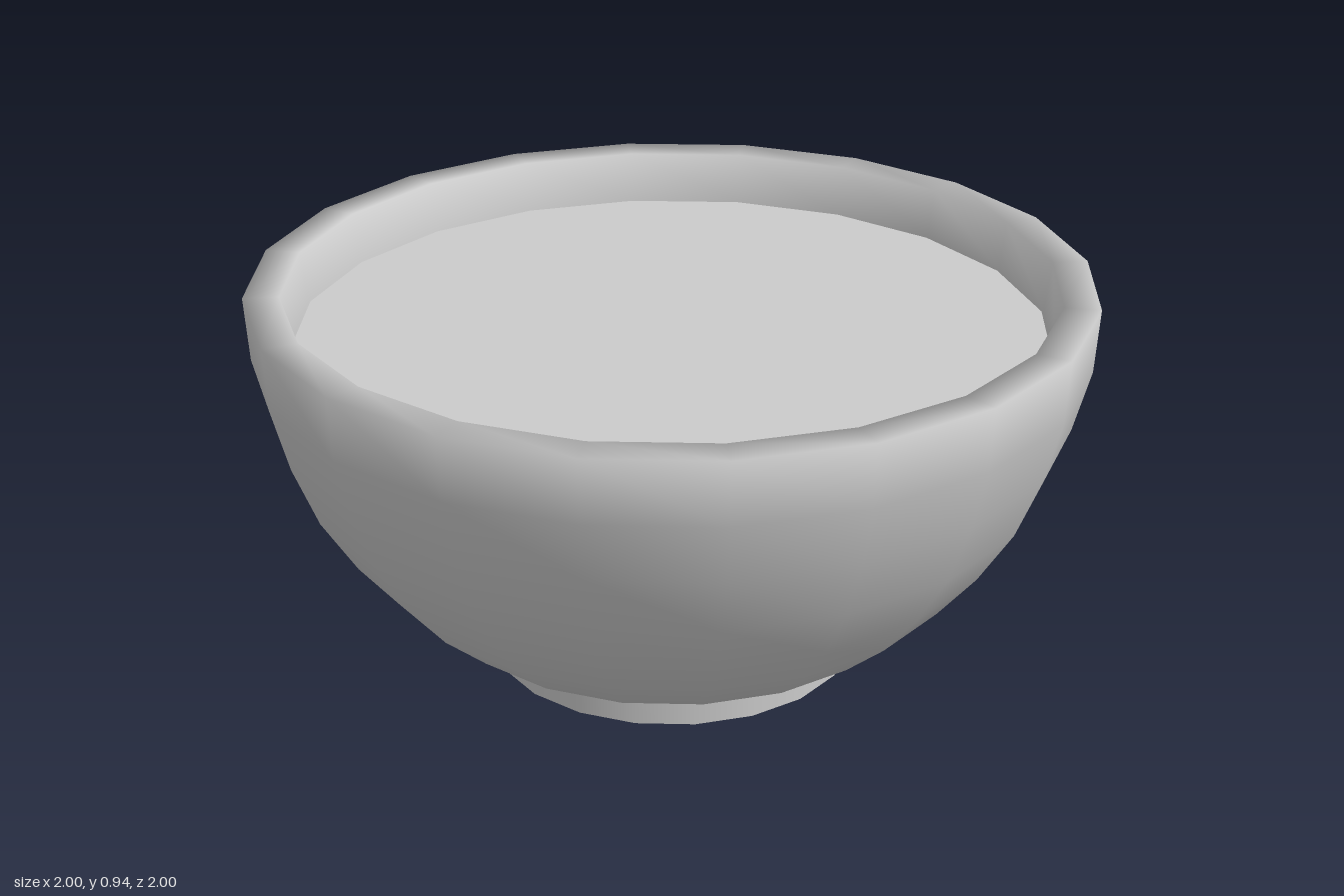
import * as THREE from 'three';

const SIDES = 20;

export function createModel() {
  const model = new THREE.Group();
  const material = new THREE.MeshStandardMaterial({ color: 0xcccccc });

  const add = (name, geometry) => {
    const mesh = new THREE.Mesh(geometry, material);
    mesh.name = name;
    model.add(mesh);
    return mesh;
  };
  const lathe = (profile) =>
    new THREE.LatheGeometry(profile.map(([r, y]) => new THREE.Vector2(r, y)), SIDES);

  // Thick-walled bowl: up the outside, over the rim, down the inside
  add('bowl', lathe([
    [0.45, 0.055], [0.595, 0.14], [0.71, 0.24], [0.805, 0.355], [0.89, 0.49],
    [0.95, 0.64], [0.99, 0.79], [1, 0.945],
    [0.915, 0.945], [0.9, 0.82], [0.86, 0.66], [0.8, 0.51], [0.71, 0.37],
    [0.6, 0.26], [0.46, 0.17], [0.16, 0.12], [0, 0.12],
  ]));

  // Short round foot, closed underneath
  const foot = add('foot', new THREE.CylinderGeometry(0.45, 0.45, 0.055, SIDES));
  foot.position.y = 0.0275;

  // Flat surface of the contents, just below the rim
  const contents = add('contents', new THREE.CircleGeometry(0.895, SIDES));
  contents.rotation.x = -Math.PI / 2;
  contents.position.y = 0.82;

  return model;
}
